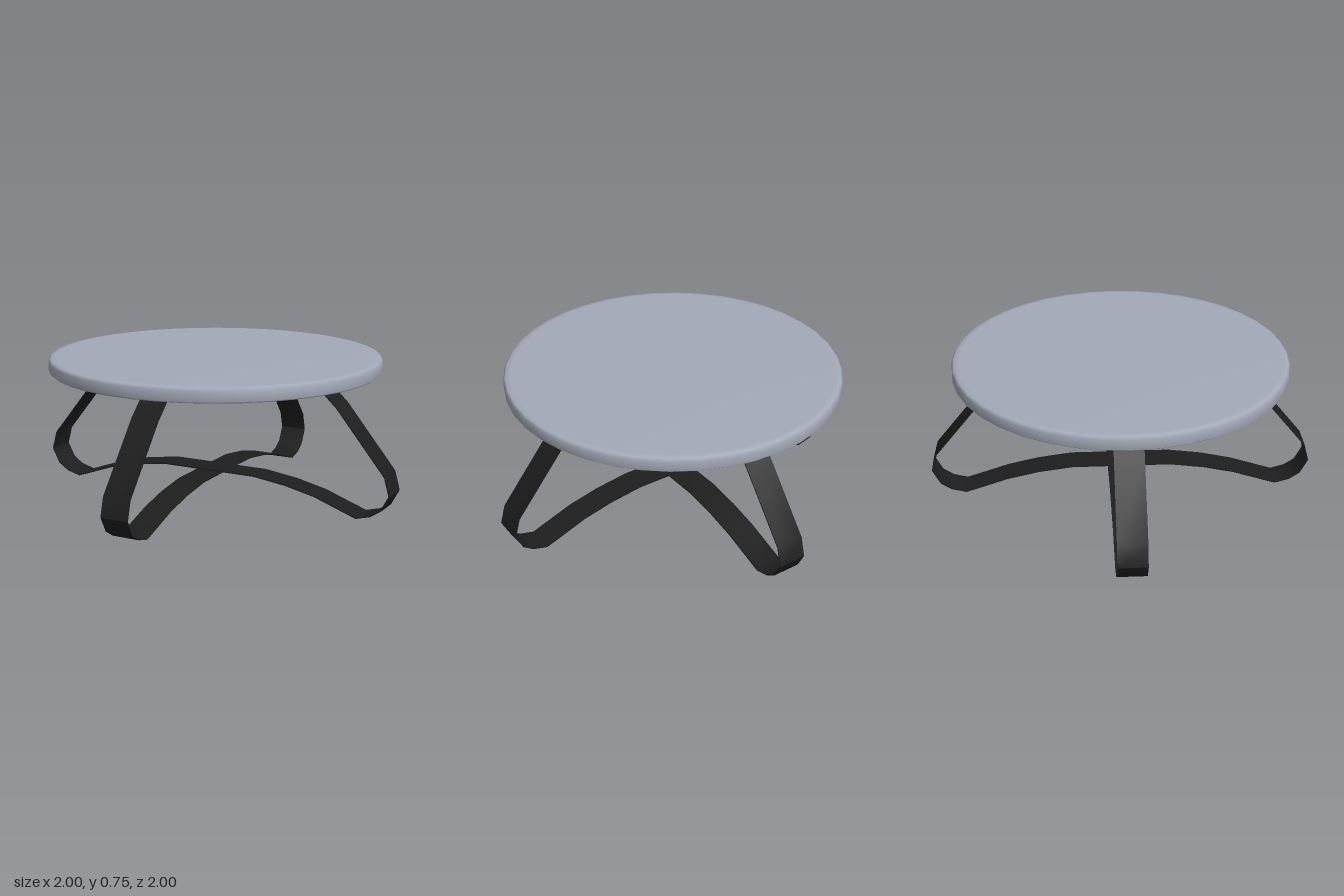
import * as THREE from 'three';
import { toCreasedNormals } from 'three/addons/utils/BufferGeometryUtils.js';

const BAND_WIDTH = 0.146;
const BAND_THICKNESS = 0.006;

// Flat strap following an open path in the xy plane, with mitred bends.
function strapGeometry(path, width, thickness) {
  const normal = (a, b) => new THREE.Vector2(a.y - b.y, b.x - a.x).normalize();
  const offsets = path.map((p, i) => {
    const n0 = normal(path[Math.max(i - 1, 0)], path[Math.max(i, 1)]);
    const last = path.length - 1;
    const n1 = normal(path[Math.min(i, last - 1)], path[Math.min(i + 1, last)]);
    const m = n0.clone().add(n1).normalize();
    return m.multiplyScalar(thickness / 2 / m.dot(n1));
  });
  const outer = path.map((p, i) => p.clone().add(offsets[i]));
  const inner = path.map((p, i) => p.clone().sub(offsets[i])).reverse();
  const geo = new THREE.ExtrudeGeometry(new THREE.Shape([...outer, ...inner]), {
    depth: width, bevelEnabled: false,
  });
  geo.translate(0, 0, -width / 2);
  return toCreasedNormals(geo, 0.65);
}

// One continuous band: mounting tab, leg, foot, low arch, and the mirrored side.
function bandPath(arch) {
  const half = [
    [0.3, 0.677], [0.58, 0.677], [0.71, 0.555], [0.97, 0.235], [0.996, 0.14],
    [0.955, 0.062], [0.9, 0.026], [0.825, 0.006], [0.6, arch - 0.06],
    [0.44, arch - 0.024], [0.26, arch],
  ].map(([x, y]) => new THREE.Vector2(x, y));
  const mirrored = half.map((p) => new THREE.Vector2(-p.x, p.y)).reverse();
  return [...half, ...mirrored];
}

export function createModel() {
  const model = new THREE.Group();
  model.name = 'roundTable';

  const topMaterial = new THREE.MeshStandardMaterial({ color: 0xa3a9b8 });
  topMaterial.name = 'blueGrey';
  const metalMaterial = new THREE.MeshStandardMaterial({ color: 0x1e1e1e });
  metalMaterial.name = 'blackMetal';

  const add = (parent, name, geometry, material) => {
    const mesh = new THREE.Mesh(geometry, material);
    mesh.name = name;
    parent.add(mesh);
    return mesh;
  };

  // Round top with softened rims
  const profile = [
    [0, 0.68], [0.8, 0.68], [0.85, 0.681], [0.861, 0.69],
    [0.861, 0.738], [0.85, 0.752], [0.82, 0.756], [0, 0.757],
  ].map(([x, y]) => new THREE.Vector2(x, y));
  add(model, 'tableTop', new THREE.LatheGeometry(profile, 40), topMaterial);

  // Two crossing bands, one resting on the other
  [0.146, 0.14].forEach((arch, i) => {
    const band = new THREE.Group();
    band.name = i === 0 ? 'sideBand' : 'frontBackBand';
    band.rotation.y = i * Math.PI / 2;
    model.add(band);
    add(band, 'legBand', strapGeometry(bandPath(arch), BAND_WIDTH, BAND_THICKNESS), metalMaterial);

    // Screws under the mounting tabs
    for (const x of [-0.46, -0.38, 0.38, 0.46]) {
      const screw = add(band, 'tabScrew', new THREE.SphereGeometry(0.012, 12, 8), metalMaterial);
      screw.scale.y = 0.7;
      screw.position.set(x, 0.673, 0);
    }
  });

  // Bolt joining the bands at the crossing
  const bolt = add(model, 'crossingBolt', new THREE.CylinderGeometry(0.012, 0.012, 0.018, 16), metalMaterial);
  bolt.position.y = 0.143;

  return model;
}
